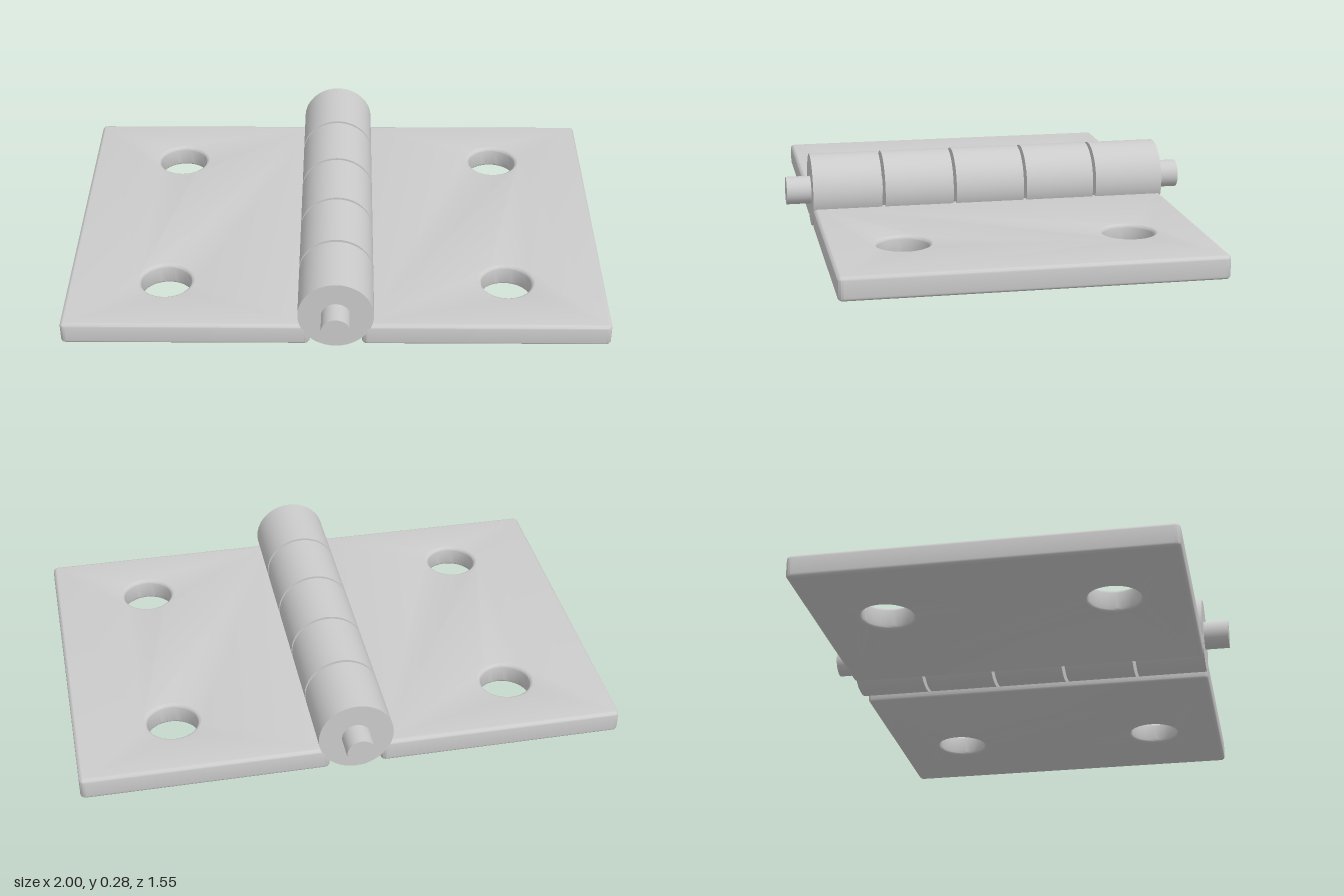
import * as THREE from 'three';
import { toCreasedNormals } from 'three/addons/utils/BufferGeometryUtils.js';

const LENGTH = 1.36;   // hinge length along z
const AXIS_Y = 0.138;  // height of the pin axis
const BEVEL = 0.014;

// Flat plate with two screw holes and softly rounded edges
function leafGeometry() {
  const x0 = 0.095 + BEVEL, x1 = 1 - BEVEL, h = LENGTH / 2 - BEVEL, r = 0.006;
  const shape = new THREE.Shape();
  shape.moveTo(x0 + r, -h);
  shape.lineTo(x1 - r, -h);
  shape.quadraticCurveTo(x1, -h, x1, -h + r);
  shape.lineTo(x1, h - r);
  shape.quadraticCurveTo(x1, h, x1 - r, h);
  shape.lineTo(x0 + r, h);
  shape.quadraticCurveTo(x0, h, x0, h - r);
  shape.lineTo(x0, -h + r);
  shape.quadraticCurveTo(x0, -h, x0 + r, -h);
  for (const z of [-0.41, 0.41]) {
    const hole = new THREE.Path();
    hole.absarc(0.635, z, 0.094 + BEVEL, 0, Math.PI * 2, true);
    shape.holes.push(hole);
  }
  const geometry = new THREE.ExtrudeGeometry(shape, {
    depth: 0.086 - 2 * BEVEL, bevelThickness: BEVEL, bevelSize: BEVEL,
    bevelSegments: 4, curveSegments: 20,
  });
  geometry.rotateX(-Math.PI / 2);
  geometry.translate(0, 0.005 + BEVEL, 0);
  return toCreasedNormals(geometry, 0.6);
}

// Cylinder lying along z on the hinge axis
function axisCylinder(radius, length, segments) {
  return new THREE.CylinderGeometry(radius, radius, length, segments)
    .rotateX(Math.PI / 2).translate(0, AXIS_Y, 0);
}

export function createModel() {
  const hinge = new THREE.Group();
  hinge.name = 'buttHinge';
  const material = new THREE.MeshStandardMaterial({ color: 0xcccccc });
  const add = (name, geometry) => {
    const mesh = new THREE.Mesh(geometry, material);
    mesh.name = name;
    hinge.add(mesh);
    return mesh;
  };

  // Two matching leaves, the right one turned half round
  const leaf = leafGeometry();
  add('leftLeaf', leaf);
  add('rightLeaf', leaf).rotation.y = Math.PI;

  // Five knuckles with narrow gaps between them
  const count = 5, gap = 0.012;
  const knuckleLength = (LENGTH - gap * (count - 1)) / count;
  const knuckle = axisCylinder(0.138, knuckleLength, 40);
  for (let i = 0; i < count; i++) {
    add(`knuckle${i + 1}`, knuckle).position.z =
      (i - (count - 1) / 2) * (knuckleLength + gap);
  }

  // Pin running through the knuckles and standing out at both ends
  add('pin', axisCylinder(0.053, 1.546, 32));

  return hinge;
}
